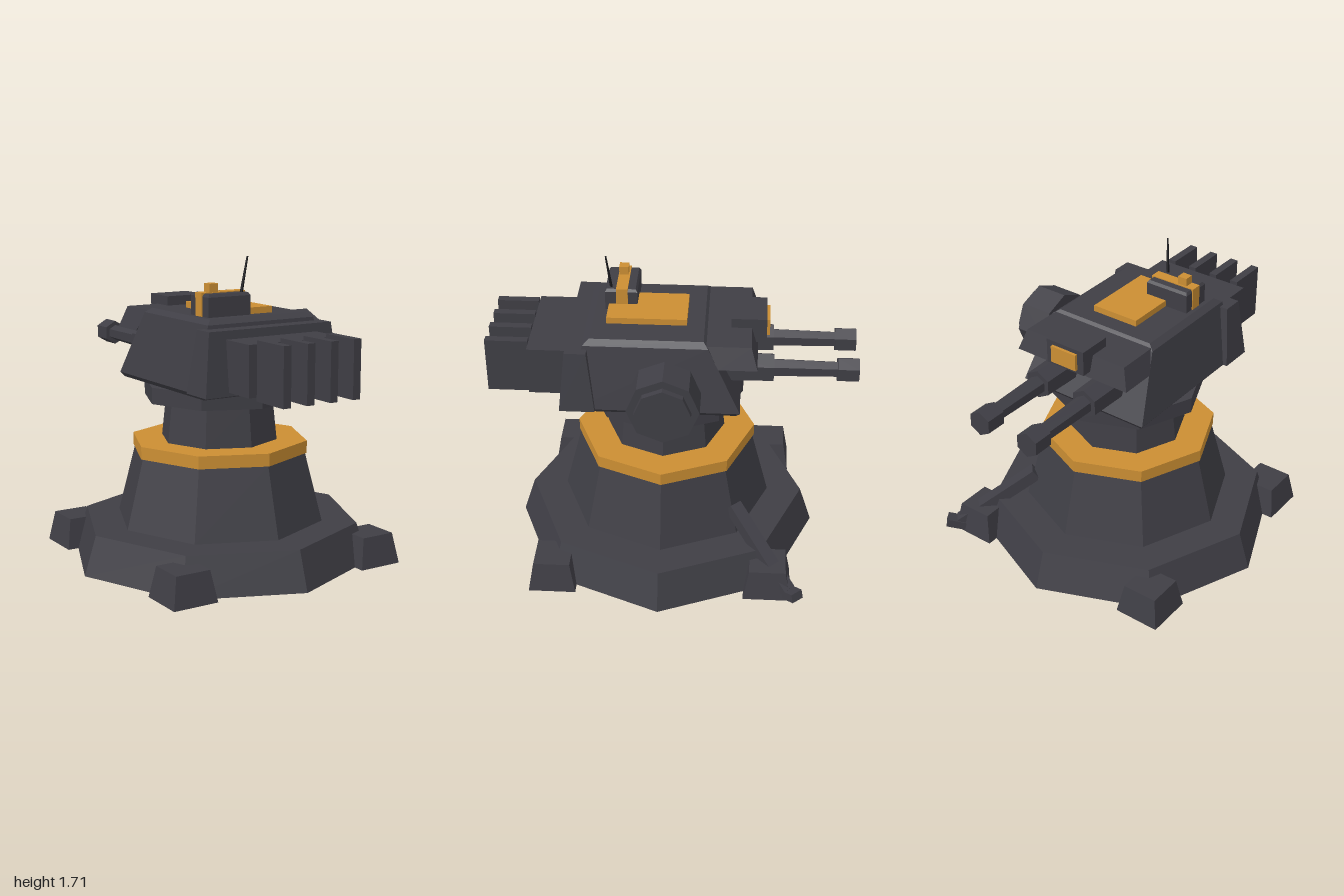
import * as THREE from 'three';

const dark = new THREE.MeshStandardMaterial({ color: 0x3f3e45 });
const amber = new THREE.MeshStandardMaterial({ color: 0xcb8e33 });
const black = new THREE.MeshStandardMaterial({ color: 0x1a1a1d });
dark.name = 'dark armour';
amber.name = 'amber paint';
black.name = 'black antenna';

// Faceted mesh with hard edges
function add(parent, name, geometry, material = dark) {
  const g = geometry.index ? geometry.toNonIndexed() : geometry;
  g.computeVertexNormals();
  const mesh = new THREE.Mesh(g, material);
  mesh.name = name;
  parent.add(mesh);
  return mesh;
}

// Box given by its extents
function box(x0, x1, y0, y1, z0, z1) {
  return new THREE.BoxGeometry(x1 - x0, y1 - y0, z1 - z0)
    .translate((x0 + x1) / 2, (y0 + y1) / 2, (z0 + z1) / 2);
}

// Solid stacked from rectangles, each level is [y, x0, x1, z0, z1]
function stack(levels) {
  const pos = [], idx = [];
  for (const [y, x0, x1, z0, z1] of levels) pos.push(x0, y, z1, x1, y, z1, x1, y, z0, x0, y, z0);
  const last = (levels.length - 1) * 4;
  for (let l = 0; l < last; l += 4) {
    for (let i = 0; i < 4; i++) {
      const j = (i + 1) % 4;
      idx.push(l + i, l + j, l + 4 + j, l + i, l + 4 + j, l + 4 + i);
    }
  }
  idx.push(0, 2, 1, 0, 3, 2, last, last + 1, last + 2, last, last + 2, last + 3);
  const g = new THREE.BufferGeometry();
  g.setAttribute('position', new THREE.Float32BufferAttribute(pos, 3));
  g.setIndex(idx);
  return g;
}

// Straight bar between two points
function bar(parent, name, a, b, geometry, material) {
  const from = new THREE.Vector3(...a), to = new THREE.Vector3(...b);
  const mesh = add(parent, name, geometry(from.distanceTo(to)), material);
  mesh.position.copy(from).add(to).multiplyScalar(0.5);
  mesh.lookAt(to);
  return mesh;
}

export function createModel() {
  const model = new THREE.Group();
  model.name = 'turret';

  // Octagonal pedestal
  const cz = 0.045;
  const tiers = [
    ['base', 0.855, 0.785, 0, 0.215, dark],
    ['tower', 0.59, 0.49, 0.215, 0.6, dark],
    ['amberRing', 0.5, 0.5, 0.6, 0.67, amber],
    ['neck', 0.33, 0.305, 0.67, 0.9, dark],
    ['collar', 0.43, 0.43, 0.9, 0.99, dark],
  ];
  for (const [name, r0, r1, y0, y1, mat] of tiers) {
    add(model, name, new THREE.CylinderGeometry(r1, r0, y1 - y0, 8).translate(0, (y0 + y1) / 2, cz), mat);
  }

  // Corner feet
  for (const sx of [-1, 1]) for (const sz of [-1, 1]) {
    const x = sx * 0.595, z = cz + sz * 0.595;
    add(model, 'foot', stack([
      [0, x - 0.13, x + 0.13, z - 0.13, z + 0.13],
      [0.17, x - 0.1, x + 0.1, z - 0.1, z + 0.1],
    ]));
  }

  // Diagonal brace with its ground pad
  bar(model, 'brace', [0.37, 0.37, -0.35], [0.7, 0.05, -0.66], (l) => new THREE.BoxGeometry(0.075, 0.07, l));
  const pad = add(model, 'bracePad', new THREE.BoxGeometry(0.075, 0.05, 0.13));
  pad.position.set(0.71, 0.045, -0.675);
  pad.rotation.set(0.3, -0.85, 0, 'YXZ');

  // Turret head
  const head = new THREE.Group();
  head.name = 'head';
  model.add(head);
  add(head, 'body', stack([
    [0.99, -0.38, 0.38, -0.35, 0.5],
    [1.015, -0.4, 0.4, -0.37, 0.515],
    [1.37, -0.335, 0.335, -0.195, 0.465],
    [1.395, -0.3, 0.3, -0.17, 0.43],
  ]));
  add(head, 'backPanel', stack([
    [1.015, -0.425, 0.425, 0.4, 0.59],
    [1.35, -0.385, 0.385, 0.44, 0.555],
  ]));
  add(head, 'frontHood', stack([
    [1.262, -0.36, 0.36, -0.455, -0.25],
    [1.38, -0.32, 0.32, -0.42, -0.18],
  ]));
  add(head, 'roofHatch', box(-0.14, 0.14, 1.39, 1.43, -0.075, 0.355), amber);

  // Radiator and its fins
  add(head, 'radiator', box(-0.285, 0.285, 1.035, 1.305, 0.5, 0.77));
  for (let i = 0; i < 4; i++) {
    const x = -0.215 + i * 0.1433;
    add(head, 'fin', box(x - 0.023, x + 0.023, 1.015, 1.325, 0.77, 1));
  }

  // Side drum on the left
  const drumParts = [['drumMount', 0.1, 0.34, 0.43], ['drum', 0.19, 0.43, 0.615], ['drumCap', 0.148, 0.615, 0.65]];
  for (const [name, r, x0, x1] of drumParts) {
    add(head, name, new THREE.CylinderGeometry(r, r, x1 - x0, 8)
      .rotateZ(-Math.PI / 2).translate((x0 + x1) / 2, 1.16, 0.025));
  }

  // Twin hexagonal guns
  const gunParts = [
    ['gunSleeve', 0.082, 0.088, -0.2, -0.545],
    ['gunBarrel', 0.045, 0.052, -0.545, -0.885],
    ['muzzle', 0.07, 0.07, -0.885, -1],
  ];
  for (const x of [-0.155, 0.155]) {
    for (const [name, rFront, rBack, z0, z1] of gunParts) {
      add(head, name, new THREE.CylinderGeometry(rFront, rBack, z0 - z1, 6)
        .rotateX(-Math.PI / 2).translate(x, 1.16, (z0 + z1) / 2));
    }
  }

  // Front sensor with amber lens
  add(head, 'sensorBox', box(-0.12, 0.12, 1.294, 1.433, -0.5, -0.31));
  add(head, 'sensorLens', box(-0.08, 0.08, 1.316, 1.41, -0.517, -0.499), amber);

  // Roof equipment box with strap, knob and antenna
  add(head, 'equipmentBox', stack([
    [1.385, -0.275, -0.012, 0.2, 0.375],
    [1.5, -0.275, -0.012, 0.2, 0.375],
    [1.515, -0.265, -0.022, 0.21, 0.365],
  ]));
  add(head, 'strap', box(-0.28, -0.008, 1.39, 1.52, 0.252, 0.315), amber);
  add(head, 'knob', box(-0.23, -0.175, 1.515, 1.565, 0.26, 0.312), amber);
  bar(head, 'antenna', [-0.052, 1.5, 0.342], [-0.028, 1.705, 0.367],
    (l) => new THREE.CylinderGeometry(0.005, 0.009, l, 6).rotateX(Math.PI / 2), black);

  return model;
}
